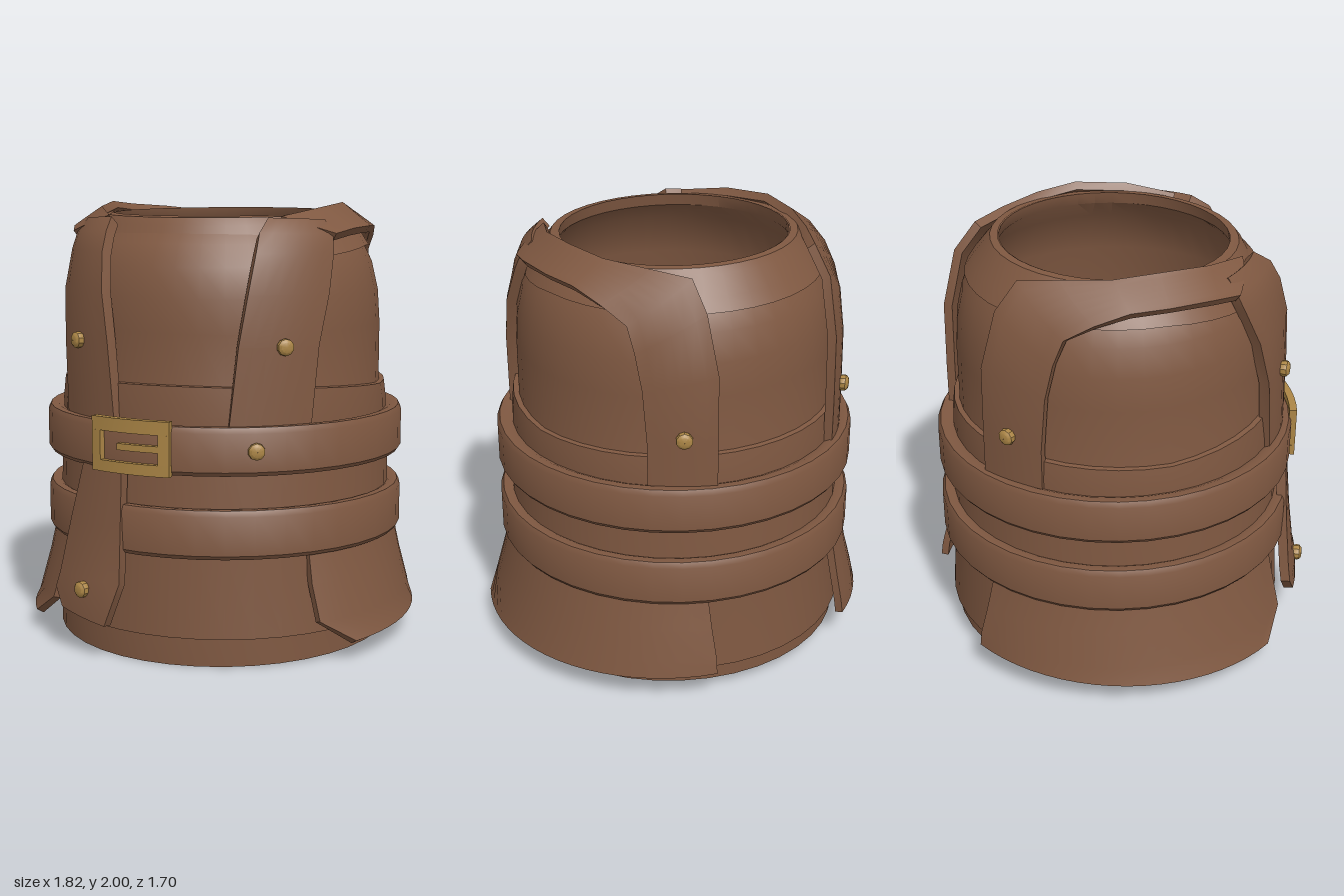
import * as THREE from 'three';
import { toCreasedNormals } from 'three/addons/utils/BufferGeometryUtils.js';

const leather = new THREE.MeshStandardMaterial({ color: 0x7f5841 });
leather.name = 'brownLeather';
const brass = new THREE.MeshStandardMaterial({ color: 0xac8646 });
brass.name = 'brass';

// angle 0 faces the front, 90 faces +x
const polar = (deg, r, y) => {
  const t = THREE.MathUtils.degToRad(deg);
  return new THREE.Vector3(r * Math.sin(t), y, r * Math.cos(t));
};

function add(group, name, geo, mat, crease = 0.6) {
  const mesh = new THREE.Mesh(toCreasedNormals(geo, crease), mat);
  mesh.name = name;
  group.add(mesh);
  return mesh;
}

// ring turned from [radius, y] points, listed up the outside first
function ring(points, bend) {
  const geo = new THREE.LatheGeometry(points.map(p => new THREE.Vector2(p[0], p[1])), 40);
  const pos = geo.attributes.position;
  if (bend) for (let i = 0; i < pos.count; i++) pos.setY(i, bend(pos.getY(i), pos.getZ(i)));
  return geo;
}

// thick curved sheet through rows of [angleA, radiusA, yA, angleB, radiusB, yB]
function slab(rows, thick, cols = 6, side = 1) {
  const n = rows.length, w = cols + 1, lerp = THREE.MathUtils.lerp;
  const outer = [];
  for (const [a, ra, ya, b, rb, yb] of rows)
    for (let j = 0; j <= cols; j++) {
      const t = j / cols;
      outer.push(polar(side * lerp(a, b, t), lerp(ra, rb, t), lerp(ya, yb, t)));
    }
  const at = (i, j) => outer[Math.min(n - 1, Math.max(0, i)) * w + Math.min(cols, Math.max(0, j))];
  const normal = (i, j) => at(i, j + 1).clone().sub(at(i, j - 1))
    .cross(at(i + 1, j).clone().sub(at(i - 1, j))).normalize();
  const mid = at(n >> 1, cols >> 1);
  const flip = normal(n >> 1, cols >> 1).dot(new THREE.Vector3(mid.x, 0.4, mid.z)) < 0;
  const inner = outer.map((p, k) =>
    p.clone().addScaledVector(normal(Math.floor(k / w), k % w), flip ? thick : -thick));
  const index = [], N = n * w;
  const quad = (a, b, c, d) => flip ? index.push(a, c, b, a, d, c) : index.push(a, b, c, a, c, d);
  for (let i = 0; i < n - 1; i++) {
    for (let j = 0; j < cols; j++) {
      const a = i * w + j;
      quad(a, a + 1, a + w + 1, a + w);
      quad(N + a, N + a + w, N + a + w + 1, N + a + 1);
    }
    const l = i * w, r = l + cols;
    quad(l, l + w, N + l + w, N + l);
    quad(r, N + r, N + r + w, r + w);
  }
  for (let j = 0; j < cols; j++) {
    const e = (n - 1) * w + j;
    quad(j, N + j, N + j + 1, j + 1);
    quad(e, e + 1, N + e + 1, N + e);
  }
  const geo = new THREE.BufferGeometry().setFromPoints([...outer, ...inner]);
  geo.setIndex(index);
  return geo;
}

// domed rivet pointing outward
function stud(group, name, deg, r, y) {
  const profile = [[0.03, -0.03], [0.038, 0], [0.036, 0.014], [0.024, 0.024], [0.001, 0.027]];
  const geo = new THREE.LatheGeometry(profile.map(p => new THREE.Vector2(p[0], p[1])), 10);
  geo.rotateX(Math.PI / 2);
  const mesh = add(group, name, geo, brass);
  mesh.position.copy(polar(deg, r, y));
  mesh.rotation.y = THREE.MathUtils.degToRad(deg);
}

export function createModel() {
  const root = new THREE.Group();
  root.name = 'leatherArmor';
  const g = new THREE.Group();
  g.name = 'armorParts';
  g.position.z = -0.02;
  root.add(g);

  // hollow torso, hem sloping up to the back
  add(g, 'torso', ring([
    [0.79, 0], [0.79, 0.125], [0.81, 0.13], [0.785, 0.5], [0.775, 0.85], [0.755, 1.06],
    [0.73, 1.2], [0.73, 1.45], [0.72, 1.6], [0.69, 1.73], [0.64, 1.83], [0.57, 1.91], [0.54, 1.95],
    [0.515, 1.955], [0.525, 1.9], [0.62, 1.8], [0.69, 1.6], [0.71, 1.1], [0.77, 0], [0.79, 0],
  ], (y, z) => y < 0.1 ? Math.max(0, 0.0275 - 0.035 * z) : y > 1.88 ? y - 0.02 * z : y), leather);

  // neck yoke, dipping at the front
  add(g, 'neckYoke', ring([
    [0.655, 1.8], [0.675, 1.805], [0.635, 1.865], [0.58, 1.92], [0.555, 1.952], [0.52, 1.955],
  ], (y, z) => y < 1.9 ? y - 0.1 * Math.max(0, z) : y - 0.025 * z), leather)
    .geometry.computeBoundingSphere();

  // waist band above the belt, higher at the front
  add(g, 'waistBand', ring([
    [0.765, 1.0], [0.765, 1.1], [0.755, 1.175], [0.72, 1.18],
  ], (y, z) => y > 1.15 ? y + 0.07 * Math.max(0, z) + 0.02 * Math.max(0, -z) : y), leather);

  // two belts
  for (const [name, y0, y1] of [['upperBelt', 0.855, 1.065], ['lowerBelt', 0.49, 0.705]])
    add(g, name, ring([
      [0.77, y0], [0.825, y0], [0.838, y0 + 0.018], [0.838, y1 - 0.025],
      [0.825, y1], [0.79, y1], [0.75, y1 - 0.02], [0.77, y0],
    ]), leather);

  for (const [side, label] of [[1, 'left'], [-1, 'right']]) {
    // front strap
    add(g, label + 'FrontStrap', slab([
      [19, 0.80, 1.04, 46, 0.79, 1.04], [22, 0.795, 1.4, 49, 0.785, 1.4],
      [25, 0.785, 1.62, 54, 0.765, 1.62], [28, 0.745, 1.79, 59, 0.72, 1.79],
      [30, 0.70, 1.88, 61, 0.69, 1.87], [35, 0.63, 1.94, 61, 0.64, 1.93],
    ], 0.05, 6, side), leather, 0.7);
    // strap over the shoulder and down the back
    add(g, label + 'ShoulderStrap', slab([
      [42, 0.60, 1.945, 61, 0.71, 1.87], [65, 0.575, 1.98, 72, 0.705, 1.89],
      [90, 0.565, 2.0, 90, 0.695, 1.895], [110, 0.57, 1.985, 104, 0.70, 1.89],
      [132, 0.59, 1.972, 116, 0.715, 1.84], [148, 0.65, 1.955, 126, 0.735, 1.77],
      [152, 0.74, 1.83, 129, 0.76, 1.66], [155, 0.795, 1.57, 131.5, 0.775, 1.5],
      [155, 0.80, 1.25, 133, 0.78, 1.25], [155, 0.80, 1.04, 133, 0.78, 1.04],
    ], 0.04, 6, side), leather, 0.7);
    // flared hip flap
    add(g, label + 'HipFlap', slab([
      [45, 0.80, 0.52, 152, 0.815, 0.52], [45, 0.835, 0.36, 153, 0.85, 0.36],
      [46, 0.88, 0.2, 154, 0.885, 0.22], [57, 0.92, 0.095, 154, 0.895, 0.15],
    ], 0.035, 20, side), leather, 0.7);
    stud(g, label + 'ChestStud', side * 36.5, 0.80, 1.4);
    stud(g, label + 'BackStud', side * 144.5, 0.80, 1.29);
  }

  // hanging end of the belt
  add(g, 'beltTail', slab([
    [-31, 0.825, 0.89, -15, 0.825, 0.89], [-36, 0.855, 0.6, -14.5, 0.85, 0.6],
    [-39, 0.89, 0.35, -13.7, 0.88, 0.36], [-40, 0.905, 0.28, -14.5, 0.895, 0.31],
    [-36, 0.91, 0.2, -18, 0.905, 0.165],
  ], 0.045), leather, 0.7);
  stud(g, 'tailStud', -26.5, 0.905, 0.31);
  stud(g, 'beltStud', 27, 0.845, 0.965);

  // curved buckle frame and prong
  const buckle = new THREE.Group();
  buckle.name = 'buckle';
  g.add(buckle);
  const bars = [
    ['topBar', -24.3, 2, 1.03, 1.09], ['bottomBar', -24.3, 2, 0.85, 0.9],
    ['sideBar', -24.3, -21, 0.9, 1.03], ['innerBar', -1.5, 2, 0.9, 1.03],
    ['prong', -14.8, -1.5, 0.953, 0.982],
  ];
  for (const [name, a, b, y0, y1] of bars)
    add(buckle, name, slab([[a, 0.862, y0, b, 0.862, y0], [a, 0.862, y1, b, 0.862, y1]], 0.035), brass);
  return root;
}
